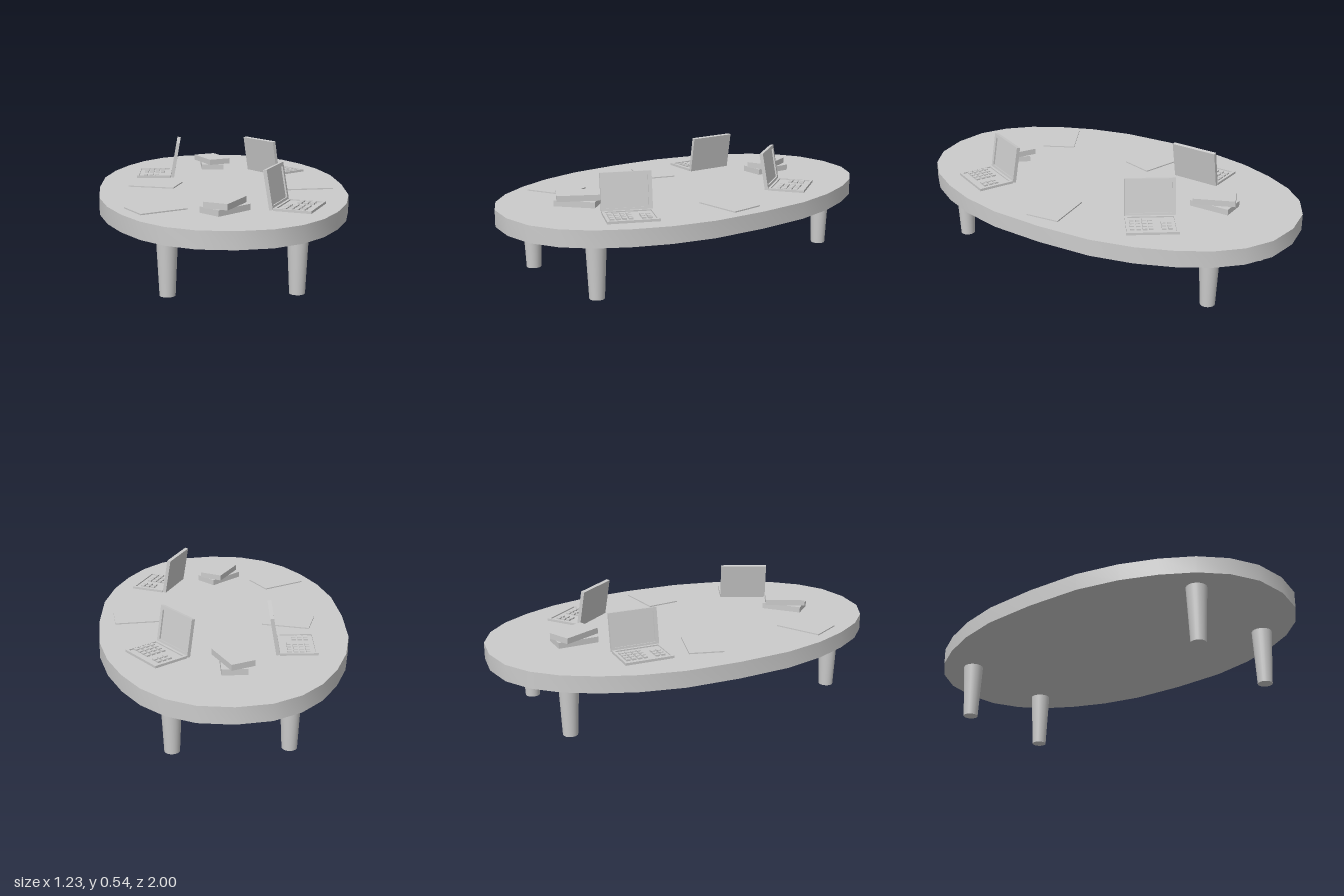
import * as THREE from 'three';
import { toCreasedNormals } from 'three/addons/utils/BufferGeometryUtils.js';

const grey = new THREE.MeshStandardMaterial({ color: 0xcccccc });
const TOP = 0.358; // height of the table surface
const UNDER = 0.276;

function add(parent, name, geometry, x = 0, y = 0, z = 0, turn = 0) {
  const mesh = new THREE.Mesh(geometry, grey);
  mesh.name = name;
  mesh.position.set(x, y, z);
  mesh.rotation.y = turn;
  parent.add(mesh);
  return mesh;
}

function subgroup(parent, name, x, y, z, turn = 0) {
  const group = new THREE.Group();
  group.name = name;
  group.position.set(x, y, z);
  group.rotation.y = turn;
  parent.add(group);
  return group;
}

// Rectangular rim, centred in XY and extruded along +z
function rim(w, h, depth, border) {
  const outline = (a, b) => [[-a, -b], [a, -b], [a, b], [-a, b]].map(p => new THREE.Vector2(...p));
  const shape = new THREE.Shape(outline(w / 2, h / 2));
  shape.holes.push(new THREE.Path(outline(w / 2 - border, h / 2 - border).reverse()));
  return new THREE.ExtrudeGeometry(shape, { depth, bevelEnabled: false });
}

// Oval top: one quarter of the outline, mirrored round
function tabletop() {
  const quarter = [[0.617, 0], [0.604, 0.272], [0.557, 0.479], [0.488, 0.65],
    [0.402, 0.795], [0.296, 0.904], [0.164, 0.976], [0, 1]];
  const points = [];
  for (const [sx, sy, flip] of [[1, 1, 0], [-1, 1, 1], [-1, -1, 0], [1, -1, 1]]) {
    const part = flip ? [...quarter].reverse() : quarter;
    part.slice(0, -1).forEach(([x, y]) => points.push(new THREE.Vector2(sx * x, sy * y)));
  }
  const geometry = new THREE.ExtrudeGeometry(new THREE.Shape(points),
    { depth: TOP - UNDER, bevelEnabled: false });
  geometry.rotateX(-Math.PI / 2);
  return toCreasedNormals(geometry, 0.6);
}

// Laptop whose user sits on its +x side
function laptop(parent, x, z, turn) {
  const g = subgroup(parent, 'laptop', x, TOP, z, turn);
  const depth = 0.18, width = 0.242;

  // Base with a sunken keyboard bed
  add(g, 'baseRim', rim(depth, width, 0.012, 0.012).rotateX(-Math.PI / 2));
  add(g, 'keyboardBed', new THREE.BoxGeometry(depth - 0.024, 0.006, width - 0.024), 0, 0.003, 0);
  const key = new THREE.BoxGeometry(0.02, 0.009, 0.02);
  const block = (cols, rows, x0, z0) => {
    for (let i = 0; i < cols; i++) {
      for (let j = 0; j < rows; j++) add(g, 'key', key, x0 + i * 0.029, 0.0095, z0 + j * 0.029);
    }
  };
  block(4, 4, -0.043, 0.006);
  block(3, 2, -0.014, -0.082);

  // Lid leaning back from the hinge, with a sunken screen
  const lid = subgroup(g, 'lid', -depth / 2, 0.004, 0);
  lid.rotation.z = 0.17;
  const height = 0.185;
  add(lid, 'lidRim', rim(width, height, 0.018, 0.018).rotateY(Math.PI / 2), -0.018, height / 2, 0);
  add(lid, 'screen', new THREE.BoxGeometry(0.01, height - 0.036, width - 0.036), -0.013, height / 2, 0);
}

export function createModel() {
  const model = new THREE.Group();
  model.name = 'meetingTable';

  add(model, 'tabletop', tabletop(), 0, UNDER, 0);

  // Tapered legs
  const leg = new THREE.CylinderGeometry(0.05, 0.036, UNDER + 0.01, 24);
  for (const [x, z] of [[0.298, 0.715], [-0.284, 0.715], [0.267, -0.711], [-0.27, -0.711]]) {
    add(model, 'leg', leg, x, (UNDER + 0.01) / 2, z);
  }

  laptop(model, -0.341, -0.365, Math.PI - 0.045);
  laptop(model, 0.332, -0.44, 0.62);
  laptop(model, 0.328, 0.545, -0.43);

  // Pairs of stacked books, each book turned differently
  const book = new THREE.BoxGeometry(0.121, 0.029, 0.203);
  for (const [x, z, lower, upper] of [[-0.02, -0.582, 0, 0.405], [-0.02, 0.611, -0.846, -0.505]]) {
    const stack = subgroup(model, 'bookStack', x, TOP, z);
    add(stack, 'lowerBook', book, 0, 0.0145, 0, lower);
    add(stack, 'upperBook', book, 0, 0.0435, 0, upper);
  }

  // Thin folders
  const folder = new THREE.BoxGeometry(0.237, 0.006, 0.168);
  for (const [x, z, turn] of [[0.426, 0.045, 0.1], [-0.333, 0.542, 0.48], [-0.335, -0.05, -0.3]]) {
    add(model, 'folder', folder, x, TOP + 0.003, z, turn);
  }
  return model;
}
